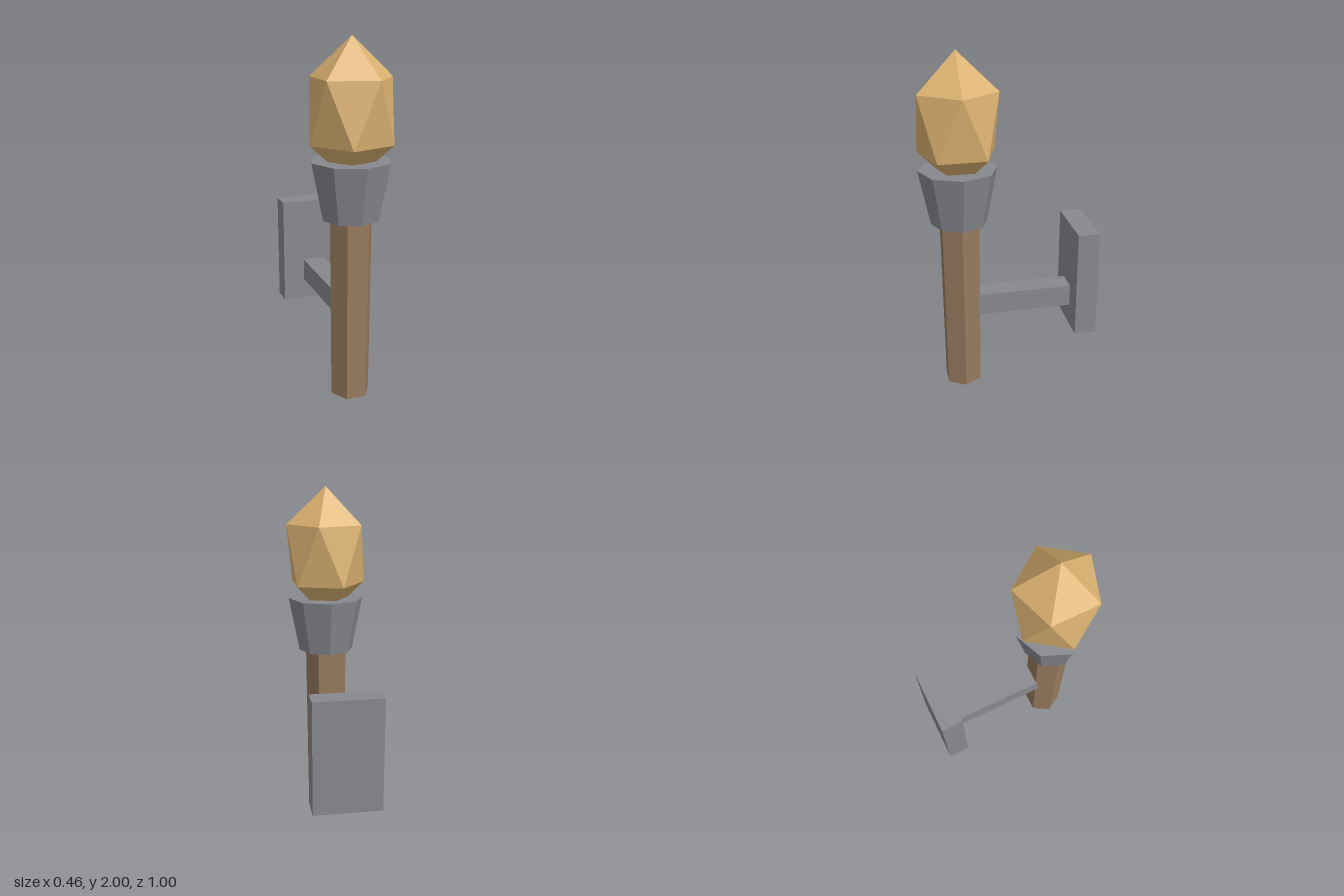
import * as THREE from 'three';

const mat = (name, color) => {
  const m = new THREE.MeshStandardMaterial({ color });
  m.name = name;
  m.flatShading = true;
  return m;
};

export function createModel() {
  const iron = mat('iron grey', 0x88898e);
  const wood = mat('wood brown', 0x977a5e);
  const fire = mat('flame gold', 0xdcb271);
  const model = new THREE.Group();
  model.name = 'wallTorch';
  const torchZ = 0.277;

  const add = (name, geometry, material, y, z) => {
    const mesh = new THREE.Mesh(geometry, material);
    mesh.name = name;
    mesh.position.set(0, y, z);
    model.add(mesh);
  };

  // Wall plate and the arm reaching to the handle
  add('wallPlate', new THREE.BoxGeometry(0.386, 0.643, 0.127), iron, 0.649, -0.4365);
  add('arm', new THREE.BoxGeometry(0.13, 0.13, 0.57), iron, 0.52, -0.09);

  // Six-sided handle, slightly wider at the top, with corners to the sides
  const handle = new THREE.CylinderGeometry(0.122, 0.113, 1.05, 6).rotateY(Math.PI / 6);
  add('handle', handle, wood, 0.525, torchZ);

  // Eight-sided flared cup
  add('cup', new THREE.CylinderGeometry(0.223, 0.161, 0.318, 8), iron, 1.196, torchZ);

  // Flame: icosahedron stood on a corner and stretched upward
  const flame = new THREE.IcosahedronGeometry(1, 0)
    .rotateZ(-Math.atan(2 / (1 + Math.sqrt(5))))
    .scale(0.257, 0.384, 0.257);
  add('flame', flame, fire, 1.616, torchZ - 0.003);

  return model;
}
